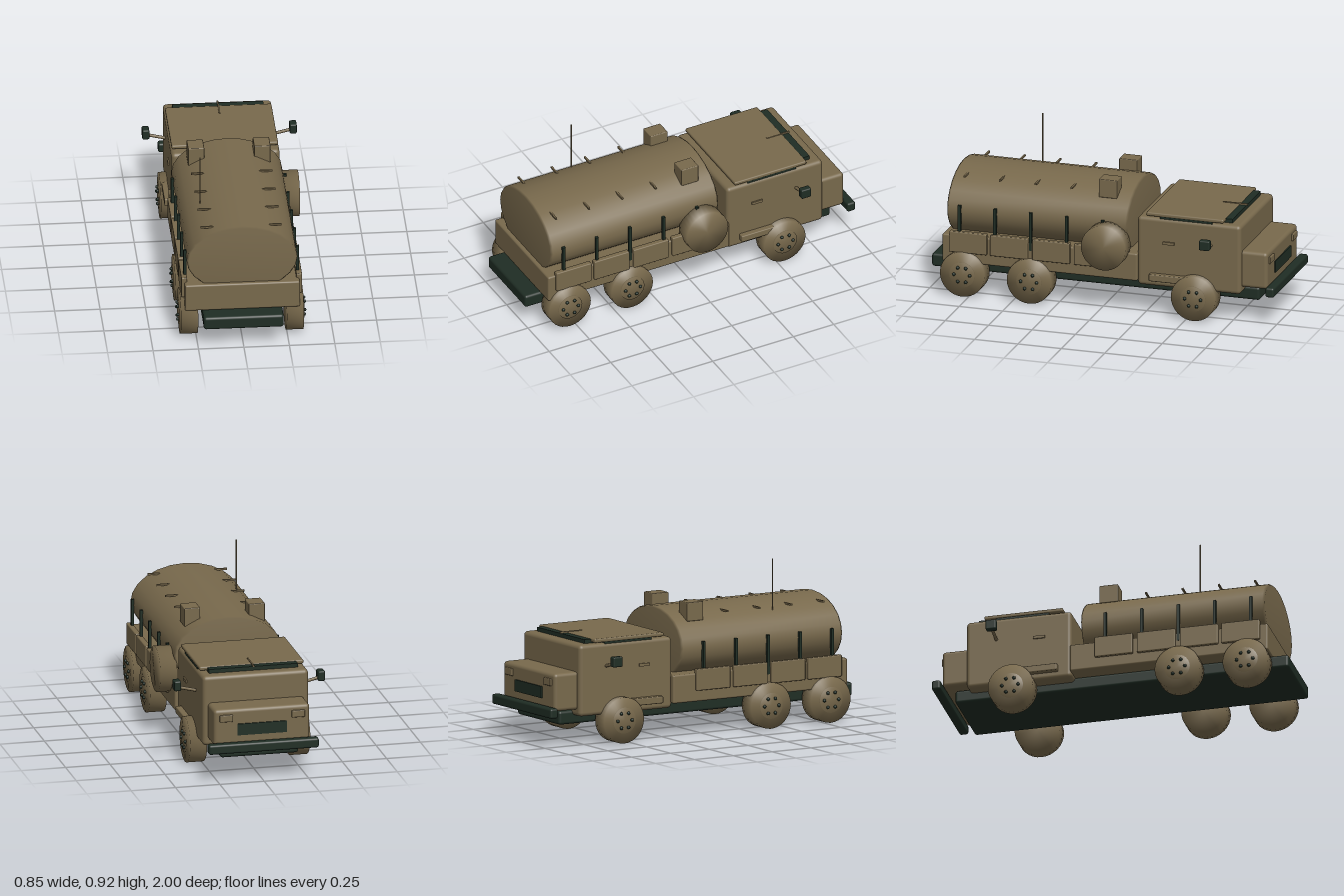
import * as THREE from 'three';
import { mergeVertices } from 'three/addons/utils/BufferGeometryUtils.js';
import { RoundedBoxGeometry } from 'three/addons/geometries/RoundedBoxGeometry.js';

export function createModel() {
  const model = new THREE.Group();
  model.name = 'tankerTruck';
  const tan = new THREE.MeshStandardMaterial({ name: 'desertTan', color: 0x78694c });
  const green = new THREE.MeshStandardMaterial({ name: 'darkGreen', color: 0x1f2d24 });

  function add(name, geometry, material, parent = model) {
    const mesh = new THREE.Mesh(geometry, material);
    mesh.name = name;
    parent.add(mesh);
    return mesh;
  }

  // Box given by its limits on each axis, with optional rounded edges
  function box(name, material, [x0, x1], [y0, y1], [z0, z1], radius = 0) {
    const size = [x1 - x0, y1 - y0, z1 - z0];
    const geometry = radius
      ? new RoundedBoxGeometry(...size, 3, radius)
      : new THREE.BoxGeometry(...size);
    const mesh = add(name, geometry, material);
    mesh.position.set((x0 + x1) / 2, (y0 + y1) / 2, (z0 + z1) / 2);
    return mesh;
  }

  // The same box on both sides, given by its +x limits
  function pair(name, material, [x0, x1], y, z, radius) {
    box(name + 'Left', material, [x0, x1], y, z, radius);
    box(name + 'Right', material, [-x1, -x0], y, z, radius);
  }

  // Shared normals so that the rim blends softly into the faces
  function soften(geometry) {
    geometry.deleteAttribute('normal');
    geometry.deleteAttribute('uv');
    const merged = mergeVertices(geometry, 1e-4);
    merged.computeVertexNormals();
    return merged;
  }

  const drum = (radius, width, sides = 32) =>
    soften(new THREE.CylinderGeometry(radius, radius, width, sides).rotateZ(Math.PI / 2));

  // Chassis and bumper
  box('chassis', green, [-0.22, 0.22], [0.115, 0.19], [-0.89, 1], 0.015);
  box('bumper', green, [-0.31, 0.31], [0.17, 0.225], [-1, -0.95], 0.012);

  // Cab, hood and roof
  box('cab', tan, [-0.298, 0.298], [0.163, 0.56], [-0.805, -0.21], 0.022);
  box('hood', tan, [-0.27, 0.27], [0.2, 0.41], [-0.95, -0.76], 0.02);
  box('roofPanel', tan, [-0.293, 0.293], [0.565, 0.587], [-0.705, -0.26], 0.008);
  box('roofRim', green, [-0.29, 0.29], [0.55, 0.572], [-0.64, -0.34]);
  box('windscreenStrip', green, [-0.25, 0.25], [0.555, 0.582], [-0.745, -0.6]);
  box('wiper', tan, [-0.004, 0.004], [0.581, 0.591], [-0.75, -0.61]);
  box('grille', green, [-0.14, 0.14], [0.26, 0.325], [-0.957, -0.948]);
  pair('headlight', tan, [0.165, 0.24], [0.34, 0.38], [-0.96, -0.94], 0.005);
  pair('doorHandle', tan, [0.29, 0.306], [0.412, 0.428], [-0.425, -0.36]);
  pair('step', tan, [0.28, 0.33], [0.2, 0.24], [-0.525, -0.285], 0.006);

  // Mirrors on slanted arms
  pair('mirror', green, [0.386, 0.425], [0.443, 0.5], [-0.665, -0.605], 0.008);
  for (const side of [-1, 1]) {
    const arm = new THREE.LineCurve3(
      new THREE.Vector3(side * 0.28, 0.43, -0.635),
      new THREE.Vector3(side * 0.395, 0.458, -0.635));
    add('mirrorArm', new THREE.TubeGeometry(arm, 1, 0.009, 8), tan);
  }

  // Load bed with side panels, stakes and tank rungs
  box('loadBed', tan, [-0.316, 0.316], [0.188, 0.346], [-0.215, 0.908], 0.01);
  for (const z of [0.755, 0.52, 0.277, 0.037]) {
    pair('sidePanel', tan, [0.3, 0.332], [0.25, 0.37], [z - 0.108, z + 0.108], 0.006);
  }
  for (const z of [0.81, 0.605, 0.4, 0.192, -0.015]) {
    pair('stake', green, [0.302, 0.318], [0.3, 0.518], [z - 0.008, z + 0.008]);
    if (z > 0) pair('tankRung', tan, [0.15, 0.223], [0.65, 0.66], [z - 0.005, z + 0.005]);
  }

  // Oval tank with slightly eased ends
  const profile = [[0, -0.52], [0.965, -0.52], [1, -0.508], [1, 0.508], [0.965, 0.52], [0, 0.52]]
    .map(([r, y]) => new THREE.Vector2(r, y));
  const tankGeometry = new THREE.LatheGeometry(profile, 24)
    .rotateX(Math.PI / 2)
    .scale(0.305, 0.2, 1);
  add('tank', soften(tankGeometry), tan).position.set(0, 0.485, 0.365);
  pair('tankHatch', tan, [0.137, 0.227], [0.62, 0.725], [-0.07, 0.035], 0.005);

  // Aerial
  add('aerial', new THREE.CylinderGeometry(0.0035, 0.0035, 0.3, 8), tan)
    .position.set(-0.2, 0.768, 0.495);

  // Wheels with hubs and six bolts each
  const tyre = drum(0.128, 0.095);
  const hub = drum(0.072, 0.02, 24);
  const bolt = new THREE.SphereGeometry(0.0095, 10, 8);
  for (const z of [0.785, 0.4, -0.545]) {
    for (const side of [-1, 1]) {
      const wheel = new THREE.Group();
      wheel.name = 'wheel';
      wheel.position.set(side * 0.291, 0.128, z);
      add('tyre', tyre, tan, wheel);
      add('hub', hub, tan, wheel).position.x = side * 0.044;
      for (let i = 0; i < 6; i++) {
        const angle = (i * Math.PI) / 3;
        add('bolt', bolt, green, wheel)
          .position.set(side * 0.057, 0.046 * Math.sin(angle), 0.046 * Math.cos(angle));
      }
      model.add(wheel);
    }
  }

  // Spare wheel on the left side
  add('spareWheel', drum(0.128, 0.095), tan).position.set(0.338, 0.383, -0.042);

  return model;
}
